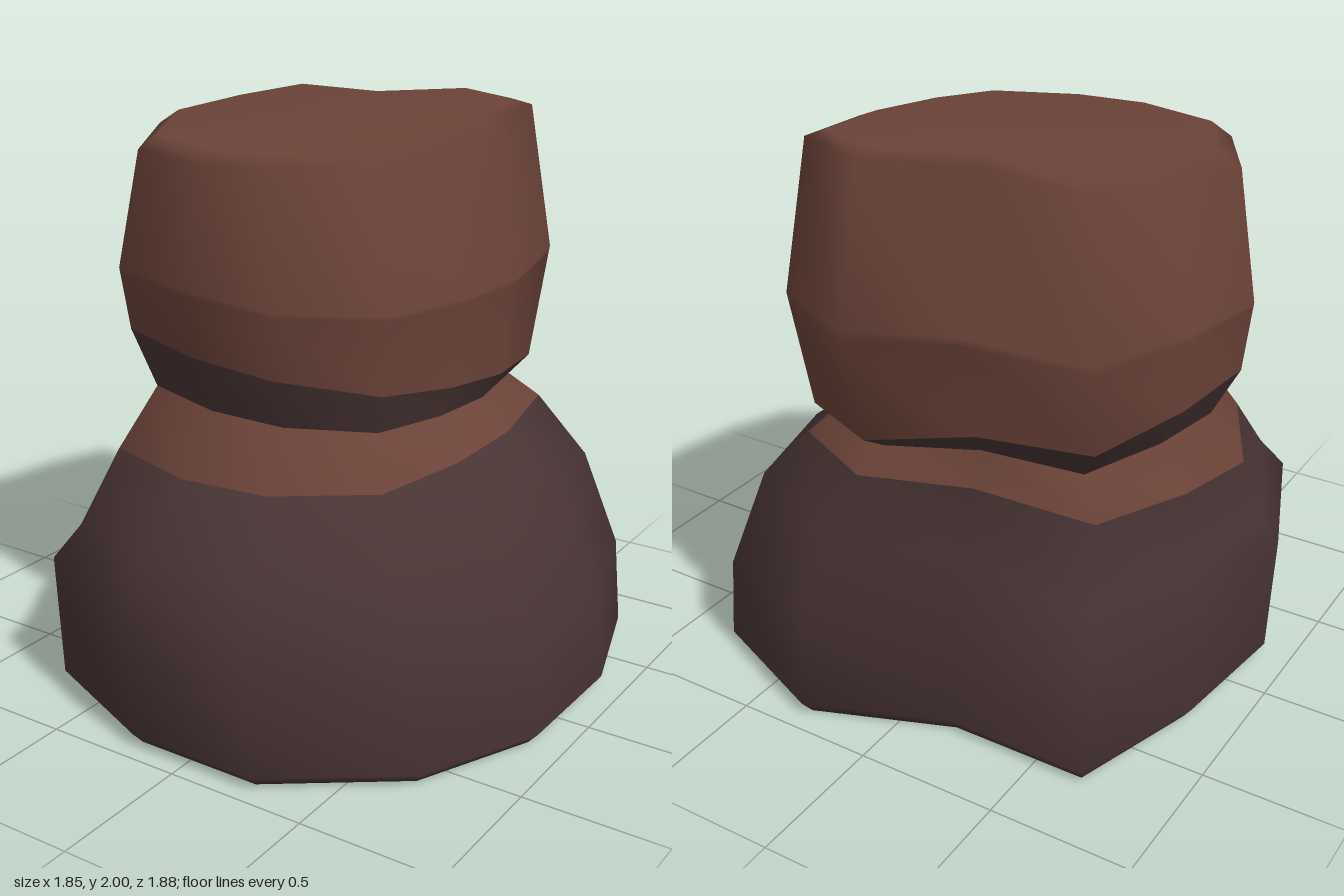
import * as THREE from 'three';

// Outlines [x, z], starting at the back and turning toward +x, then the front
const BASE = [[0.30, -0.94], [0.78, -0.74], [0.92, -0.28], [0.91, 0.20], [0.71, 0.62], [0.27, 0.93],
  [-0.22, 0.93], [-0.71, 0.73], [-0.92, 0.20], [-0.86, -0.28], [-0.71, -0.75], [-0.20, -0.75]];
const HEAD = [[0.12, -0.86], [0.44, -0.71], [0.51, -0.33], [0.49, 0.0], [0.40, 0.33], [0.07, 0.51],
  [-0.27, 0.52], [-0.65, 0.40], [-0.86, -0.01], [-0.80, -0.33], [-0.66, -0.68], [-0.23, -0.71]];
const CROWN = [[0.09, -0.74], [0.36, -0.64], [0.40, -0.32], [0.36, -0.02], [0.27, 0.22], [-0.01, 0.38],
  [-0.27, 0.42], [-0.60, 0.32], [-0.79, -0.02], [-0.72, -0.32], [-0.60, -0.58], [-0.22, -0.57]];
const SHOULDER = BASE.map(([x, z], i) => [(x + HEAD[i][0]) / 2, (z + HEAD[i][1]) / 2]);

// Fit an outline to x and z limits and lay it on the plane y = h + a x + b z
function ring(outline, [x0, x1, z0, z1], h, a = 0, b = 0) {
  const xs = outline.map(p => p[0]), zs = outline.map(p => p[1]);
  const fit = (v, list, lo, hi) => {
    const min = Math.min(...list), max = Math.max(...list);
    return lo + (v - min) / (max - min) * (hi - lo);
  };
  return outline.map(([px, pz]) => {
    const x = fit(px, xs, x0, x1), z = fit(pz, zs, z0, z1);
    return new THREE.Vector3(x, h + a * x + b * z, z);
  });
}

// Smooth skin over a stack of rings, with optional end caps
function loft(name, rings, material, { bottom = false, top = false } = {}) {
  const n = rings[0].length, points = rings.flat(), index = [];
  for (let r = 0; r < rings.length - 1; r++) {
    for (let i = 0; i < n; i++) {
      const j = (i + 1) % n, a = r * n + i, b = r * n + j;
      index.push(a, a + n, b + n, a, b + n, b);
    }
  }
  const cap = (r, up) => {
    const center = new THREE.Vector3();
    rings[r].forEach(p => center.addScaledVector(p, 1 / n));
    const c = points.push(center) - 1;
    for (let i = 0; i < n; i++) {
      const a = r * n + i, b = r * n + (i + 1) % n;
      index.push(c, up ? b : a, up ? a : b);
    }
  };
  if (bottom) cap(0, false);
  if (top) cap(rings.length - 1, true);
  const geometry = new THREE.BufferGeometry().setFromPoints(points);
  geometry.setIndex(index);
  geometry.computeVertexNormals();
  const mesh = new THREE.Mesh(geometry, material);
  mesh.name = name;
  return mesh;
}

export function createModel() {
  const brown = new THREE.MeshStandardMaterial({ name: 'warm brown rock', color: 0x6b4338 });
  const dark = new THREE.MeshStandardMaterial({ name: 'dark rock', color: 0x493434 });

  const foot = ring(BASE, [-0.87, 0.88, -0.90, 0.90], 0);
  const skirt = ring(BASE, [-0.905, 0.92, -0.935, 0.94], 0.045);
  const belly = ring(BASE, [-0.925, 0.89, -0.935, 0.94], 0.42, -0.065, 0.02);
  const slope = ring(SHOULDER, [-0.86, 0.75, -0.83, 0.83], 0.655, 0.09);
  const collar = ring(HEAD, [-0.83, 0.53, -0.77, 0.60], 0.87, 0.03, -0.05);
  const neck = ring(HEAD, [-0.73, 0.42, -0.69, 0.44], 1.015, -0.02, 0.02);
  const jaw = ring(HEAD, [-0.83, 0.465, -0.79, 0.49], 1.15, -0.08, 0.1);
  const brow = ring(HEAD, [-0.86, 0.51, -0.855, 0.525], 1.46);
  const rim = ring(CROWN, [-0.79, 0.415, -0.75, 0.445], 1.905, 0.02, -0.09);
  const crown = ring(CROWN, [-0.71, 0.355, -0.70, 0.40], 1.94, 0, -0.085);

  // Shallow ledge under the brow on the front and +x side
  const ledge = brow.map((p, i) => {
    const lip = i >= 2 && i <= 5;
    if (lip) p.y -= 0.03;
    const q = p.clone().lerp(jaw[i], 0.08);
    if (lip) {
      q.x -= 0.018 * Math.sign(q.x);
      q.z -= i > 3 ? 0.018 : 0;
    }
    return q;
  });

  const model = new THREE.Group();
  model.name = 'stackedRock';
  model.add(
    loft('lowerRock', [foot, skirt, belly, slope, collar], dark, { bottom: true }),
    loft('collarLedge', [collar, neck], brown),
    loft('neckUndercut', [neck, jaw], dark),
    loft('upperRock', [jaw, ledge, brow, rim, crown], brown, { top: true }),
  );
  return model;
}
